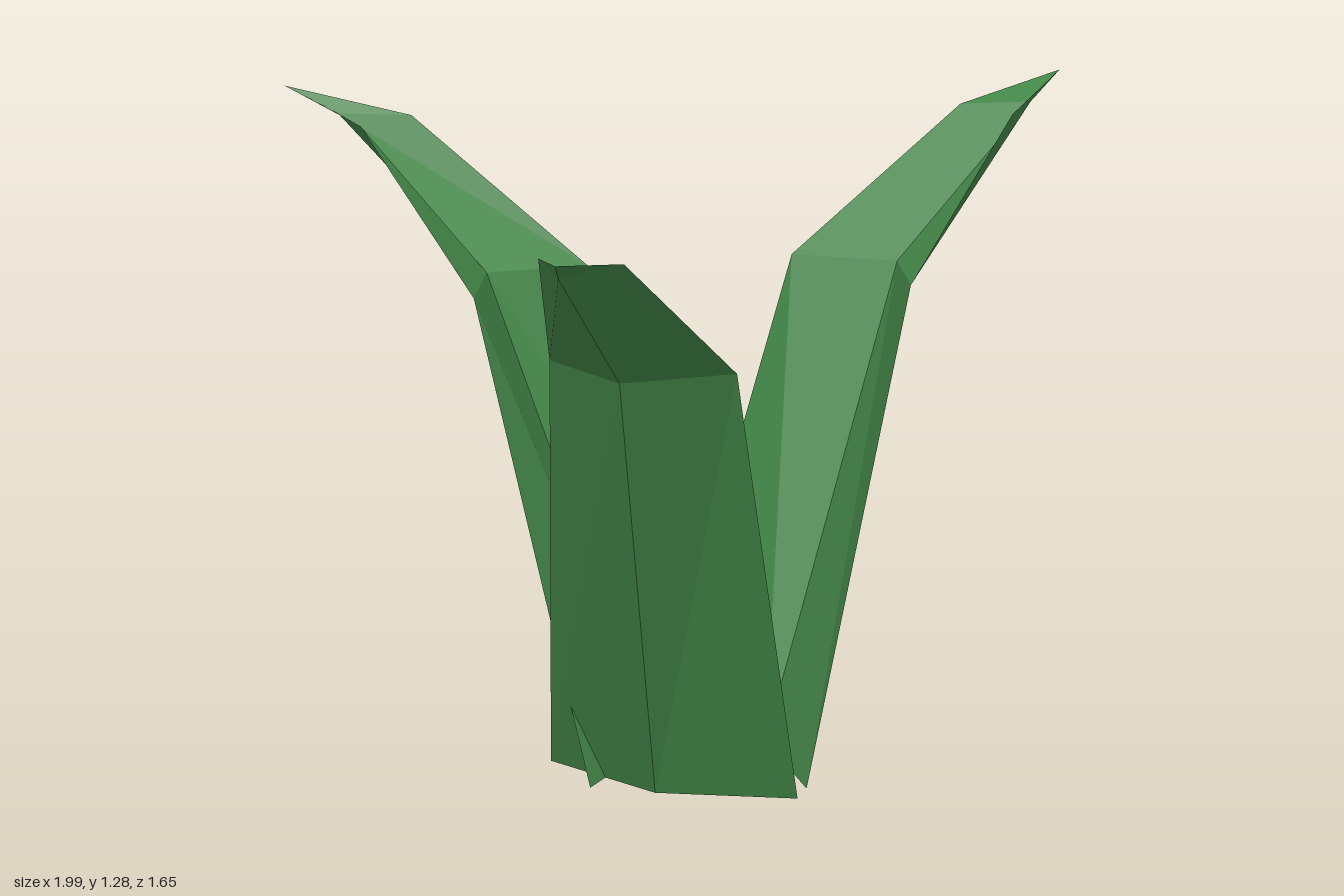
import * as THREE from 'three';

// Cross-sections of one folded leaf, base to tip: [edge, crease, edge]
const rows = [
  [[-0.04, 0, 0.44], [0.08, 0, 0.19], [0.04, 0, -0.09]],
  [[0.35, 0.945, 0.32], [0.48, 0.945, 0.15], [0.36, 0.945, -0.04]],
  [[0.735, 1.23, 0.225], [0.87, 1.23, 0.15], [0.74, 1.23, 0.07]],
];
const tip = [0.99, 1.28, 0.12];
const pivot = [0.48, 0, 0.15]; // point the leaf turns about

function leafGeometry() {
  const pos = [];
  const tri = (...pts) => pts.forEach((p) => pos.push(...p));
  for (let side = 0; side < 2; side++) {
    for (let r = 0; r < 2; r++) {
      const a = rows[r][side], b = rows[r][side + 1];
      const c = rows[r + 1][side + 1], d = rows[r + 1][side];
      tri(a, b, c);
      tri(a, c, d);
    }
    tri(rows[2][side], rows[2][side + 1], tip);
  }
  const geo = new THREE.BufferGeometry();
  geo.setAttribute('position', new THREE.Float32BufferAttribute(pos, 3));
  geo.translate(-pivot[0], 0, -pivot[2]);
  geo.computeVertexNormals(); // unshared corners keep the facets flat
  return geo;
}

export function createModel() {
  const group = new THREE.Group();
  group.name = 'plant';
  const leafGreen = new THREE.MeshStandardMaterial({
    color: 0x428547, flatShading: true, side: THREE.DoubleSide,
  });
  leafGreen.name = 'leafGreen';

  const geo = leafGeometry();
  // name, x, z, turn in degrees
  const leaves = [
    ['leftLeaf', 0.48, 0.15, 0],
    ['backLeaf', -0.22, -0.33, 102.5],
    ['rightLeaf', -0.59, 0.515, 214],
  ];
  for (const [name, x, z, turn] of leaves) {
    const leaf = new THREE.Mesh(geo, leafGreen);
    leaf.name = name;
    leaf.position.set(x, 0, z);
    leaf.rotation.y = THREE.MathUtils.degToRad(turn);
    group.add(leaf);
  }
  return group;
}
